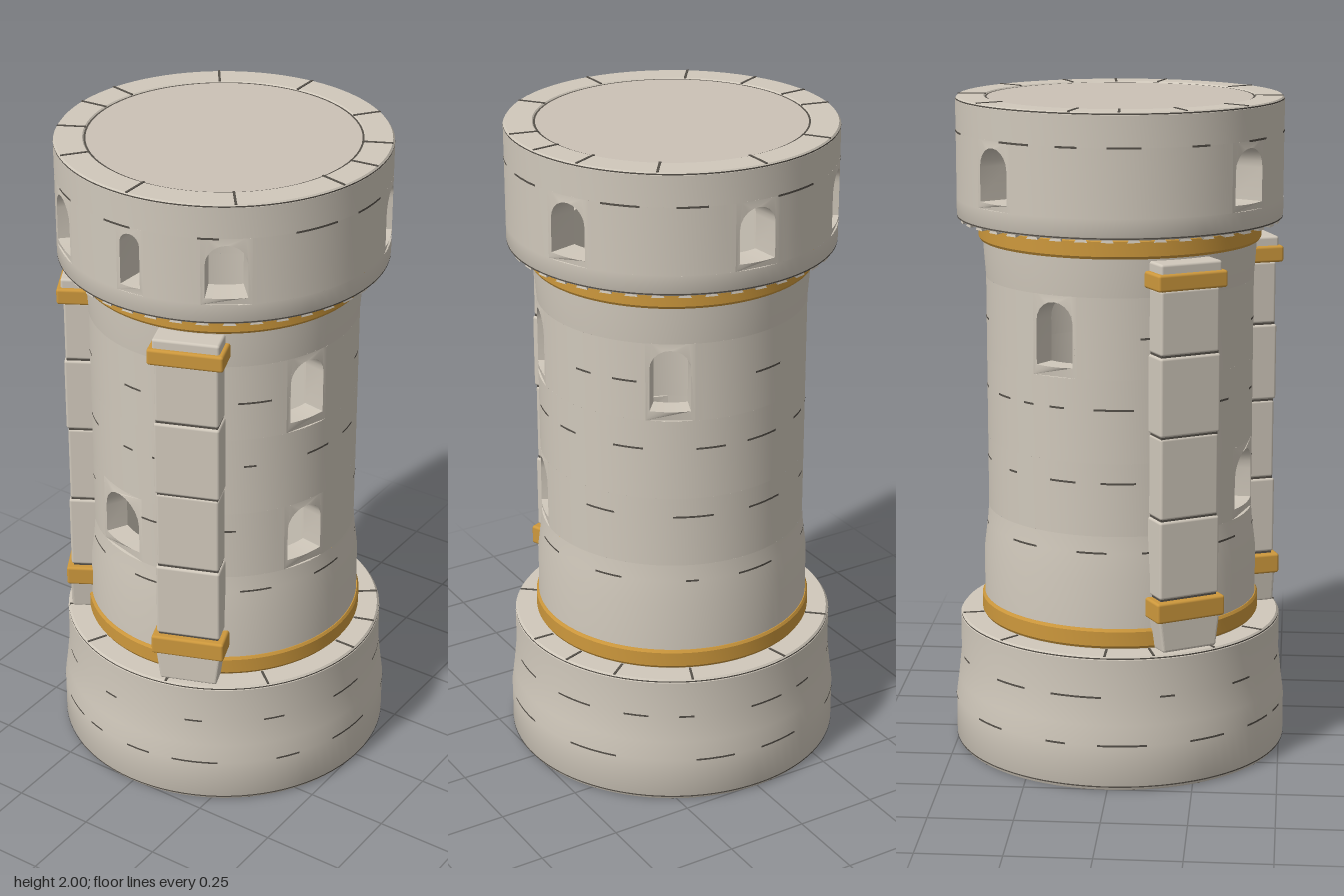
import * as THREE from 'three';
import { mergeGeometries, toCreasedNormals } from 'three/addons/utils/BufferGeometryUtils.js';
import { RoundedBoxGeometry } from 'three/addons/geometries/RoundedBoxGeometry.js';

const mat = (name, color) => new THREE.MeshStandardMaterial({ name, color });
const RAD = Math.PI / 180;

// small seeded generator for the broken mortar dashes
function seeded(s) {
  return () => (s = (s * 16807) % 2147483647) / 2147483647;
}

// surface of revolution; azimuth 0 is the front (+z), 90 is +x
function lathe(points, from = 0, to = 360) {
  const g = new THREE.LatheGeometry(points.map(p => new THREE.Vector2(...p)),
    Math.max(2, Math.round((to - from) / 4)), from * RAD, (to - from) * RAD);
  return toCreasedNormals(g, 0.5);
}

// straight edge with a tiny bow, so its in-between points survive triangulation
function edge(x0, x1, y, bow) {
  return Array.from({ length: 9 }, (_, i) => {
    const t = i / 8;
    return new THREE.Vector2(x0 + (x1 - x0) * t, y + bow * Math.sin(Math.PI * t));
  });
}

// bent wall panel with an arched opening
function windowPanel(az, half, w, y0, y1, r, inner, sill, top) {
  const hw = half * RAD * r;
  const shape = new THREE.Shape([...edge(-hw, hw, y0, -0.0015), ...edge(hw, -hw, y1, 0.0015)]);
  const spring = top - w / 2;
  const arch = Array.from({ length: 11 }, (_, i) => {
    const a = Math.PI * i / 10;
    return new THREE.Vector2(Math.cos(a) * w / 2, spring + Math.sin(a) * w / 2);
  });
  shape.holes.push(new THREE.Path([...edge(-w / 2, w / 2, sill, -0.0015), ...arch]));
  const g = new THREE.ExtrudeGeometry(shape, { depth: r - inner, bevelEnabled: false });
  const p = g.attributes.position;
  for (let i = 0; i < p.count; i++) {
    const a = az * RAD + p.getX(i) / r, rad = inner + p.getZ(i);
    p.setXYZ(i, rad * Math.sin(a), p.getY(i), rad * Math.cos(a));
  }
  g.clearGroups();
  return toCreasedNormals(g, 0.5);
}

// ring of wall: window panels with plain arcs between them
function windowRing(y0, y1, r, inner, sill, top, windows) {
  const parts = [];
  const list = windows.map(([az, w]) => ({ az, w, half: (w / 2 + 0.012) / r / RAD }));
  list.forEach((win, i) => {
    const next = list[(i + 1) % list.length];
    const end = next.az - next.half + (i === list.length - 1 ? 360 : 0);
    const start = win.az + win.half;
    parts.push(windowPanel(win.az, win.half, win.w, y0, y1, r, inner, sill, top));
    parts.push(lathe([[r, y0], [r, y1]], start, end), lathe([[inner, y1], [inner, y0]], start, end));
  });
  return mergeGeometries(parts);
}

export function createModel() {
  const stone = mat('stone', 0xd0c8bb);
  const slab = mat('floor slab', 0xcbc1b6);
  const gold = mat('gold trim', 0xcd983c);
  const mortar = mat('dark mortar', 0x555049);
  const tower = new THREE.Group();
  tower.name = 'tower';
  const add = (name, g, m, parent = tower) => {
    const mesh = new THREE.Mesh(g, m);
    mesh.name = name;
    parent.add(mesh);
    return mesh;
  };

  // broad foot
  add('base', lathe([[0.39, 0.005], [0.39, 0], [0.505, 0], [0.512, 0.015], [0.512, 0.14], [0.504, 0.2],
    [0.495, 0.285], [0.495, 0.4], [0.487, 0.41], [0.34, 0.41], [0.34, 0.02]]), stone);
  add('bottomSlab', new THREE.CylinderGeometry(0.39, 0.39, 0.025, 72).translate(0, 0.0175, 0), slab);

  // shaft courses, hollow inside
  const R = 0.404, I = 0.335;
  add('shaftFoot', lathe([[0.42, 0.41], [0.418, 0.62], [0.408, 0.7], [R, 0.75]]), stone);
  add('shaftFootInside', lathe([[I, 0.75], [I, 0.41]]), stone);
  add('lowerWindowCourse', windowRing(0.75, 0.97, R, I, 0.78, 0.95, [[-16, 0.16], [71, 0.125]]), stone);
  add('shaftMiddle', lathe([[R, 0.97], [R, 1.22]]), stone);
  add('shaftMiddleInside', lathe([[I, 1.22], [I, 0.97]]), stone);
  add('upperWindowCourse', windowRing(1.22, 1.46, R, I, 1.25, 1.44,
    [[71, 0.12], [148, 0.12], [246, 0.12]]), stone);
  add('shaftNeck', lathe([[R, 1.46], [0.41, 1.54], [0.412, 1.66]]), stone);
  add('shaftNeckInside', lathe([[I, 1.66], [I, 1.46]]), stone);

  // overhanging crown
  const C = 0.489, CI = 0.4;
  add('crownUnderside', lathe([[I, 1.66], [0.41, 1.645], [0.465, 1.64], [0.484, 1.64], [C, 1.65], [C, 1.7]]), stone);
  add('crownInsideLow', lathe([[CI, 1.7], [CI, 1.66], [I, 1.66]]), stone);
  add('crownWindows', windowRing(1.7, 1.9, C, CI, 1.72, 1.88,
    [[-36, 0.125], [2, 0.065], [35, 0.12], [112, 0.12], [178, 0.115], [226, 0.12]]), stone);
  add('crownRim', lathe([[C, 1.9], [C, 1.992], [0.483, 2], [0.405, 2], [CI, 1.995], [CI, 1.9]]), stone);
  add('roofSlab', new THREE.CylinderGeometry(0.402, 0.402, 0.02, 72).translate(0, 1.985, 0), slab);

  // ragged teeth under the crown
  const teeth = [];
  for (let i = 0; i < 40; i++) {
    const g = new THREE.ConeGeometry(0.022, 0.05, 3);
    g.rotateX(-Math.PI / 2 - 0.2).translate(0, 1.638, 0.455).rotateY(i * 9 * RAD);
    teeth.push(g);
  }
  add('crownTeeth', mergeGeometries(teeth), stone);

  // gold collars
  const collar = (name, y0, y1, r) => add(name, lathe([[0.395, y0], [r - 0.005, y0], [r, y0 + 0.008],
    [r, y1 - 0.008], [r - 0.005, y1], [0.395, y1]]), gold);
  collar('lowerCollar', 0.412, 0.472, 0.427);
  collar('upperCollar', 1.575, 1.634, 0.425);

  // two stacked-block pilasters with gold straps
  const cuts = [0.572, 0.812, 1.06, 1.298, 1.492];
  for (const [name, az] of [['leftPilaster', 21], ['rightPilaster', -60]]) {
    const p = new THREE.Group();
    p.name = name;
    p.rotation.y = az * RAD;
    tower.add(p);
    const block = (part, y0, y1, w, front, m) => add(part,
      new RoundedBoxGeometry(w, y1 - y0, front - 0.36, 2, 0.008)
        .translate(0, (y0 + y1) / 2, (front + 0.36) / 2), m, p);
    // tapered foot
    const foot = block('pilasterFoot', 0.412, 0.52, 0.2, 0.476, stone).geometry;
    const pos = foot.attributes.position;
    for (let i = 0; i < pos.count; i++) if (pos.getY(i) < 0.45) pos.setX(i, pos.getX(i) * 0.88);
    foot.computeVertexNormals();
    for (let i = 0; i < 4; i++) {
      block('pilasterBlock', cuts[i] + 0.002, cuts[i + 1] - 0.002, i % 2 ? 0.188 : 0.194, i % 2 ? 0.468 : 0.472, stone);
    }
    add('pilasterJoints', new THREE.BoxGeometry(0.182, 0.93, 0.1).translate(0, 1.03, 0.415), mortar, p);
    block('lowerStrap', 0.506, 0.568, 0.222, 0.486, gold);
    block('upperStrap', 1.49, 1.54, 0.222, 0.486, gold);
    block('pilasterCap', 1.53, 1.568, 0.196, 0.474, stone);
  }

  // broken horizontal mortar lines
  const rnd = seeded(77), dashes = [];
  for (const [y, r] of [[0.14, 0.5135], [0.284, 0.497], [0.7, 0.4098], [0.91, 0.4055],
    [1.13, 0.4055], [1.34, 0.4055], [1.9, 0.4905]]) {
    const blocked = y === 0.91 ? [-16, 71] : y === 1.34 ? [71, 148, 246] : [];
    for (let a = rnd() * 20 - 20; a < 330;) {
      const len = 5 + rnd() * 13;
      if (!blocked.some(b => a < b + 13 && a + len > b - 13)) {
        dashes.push(lathe([[r, y - 0.003], [r, y + 0.003]], a, a + len));
      }
      a += len + 8 + rnd() * 20;
    }
  }
  for (const [y, r] of [[0.012, 0.513], [0.404, 0.4935], [1.645, 0.4885], [1.995, 0.489]]) {
    dashes.push(lathe([[r, y - 0.002], [r, y + 0.002]]));
  }
  add('mortarLines', mergeGeometries(dashes), mortar);

  // radial joints on the rim and the foot ledge
  const joints = [];
  const joint = (az, y, r0, r1) => joints.push(new THREE.BoxGeometry(0.007, 0.003, r1 - r0)
    .translate(0, y, (r0 + r1) / 2).rotateY(az * RAD));
  for (const az of [1, 38, 77, 96, 116, 144, 181, 216, 257, 274, 297, 323]) {
    joint(az, 2.0, 0.4, 0.485);
    joint(az + 12, 0.41, 0.425, 0.49);
    joint(az + 5, 0, 0.39, 0.505);
  }
  add('radialJoints', mergeGeometries(joints).translate(0, 0.0005, 0), mortar);
  add('rimJoint', new THREE.RingGeometry(0.396, 0.402, 72).rotateX(-Math.PI / 2).translate(0, 1.9965, 0), mortar);

  return tower;
}
